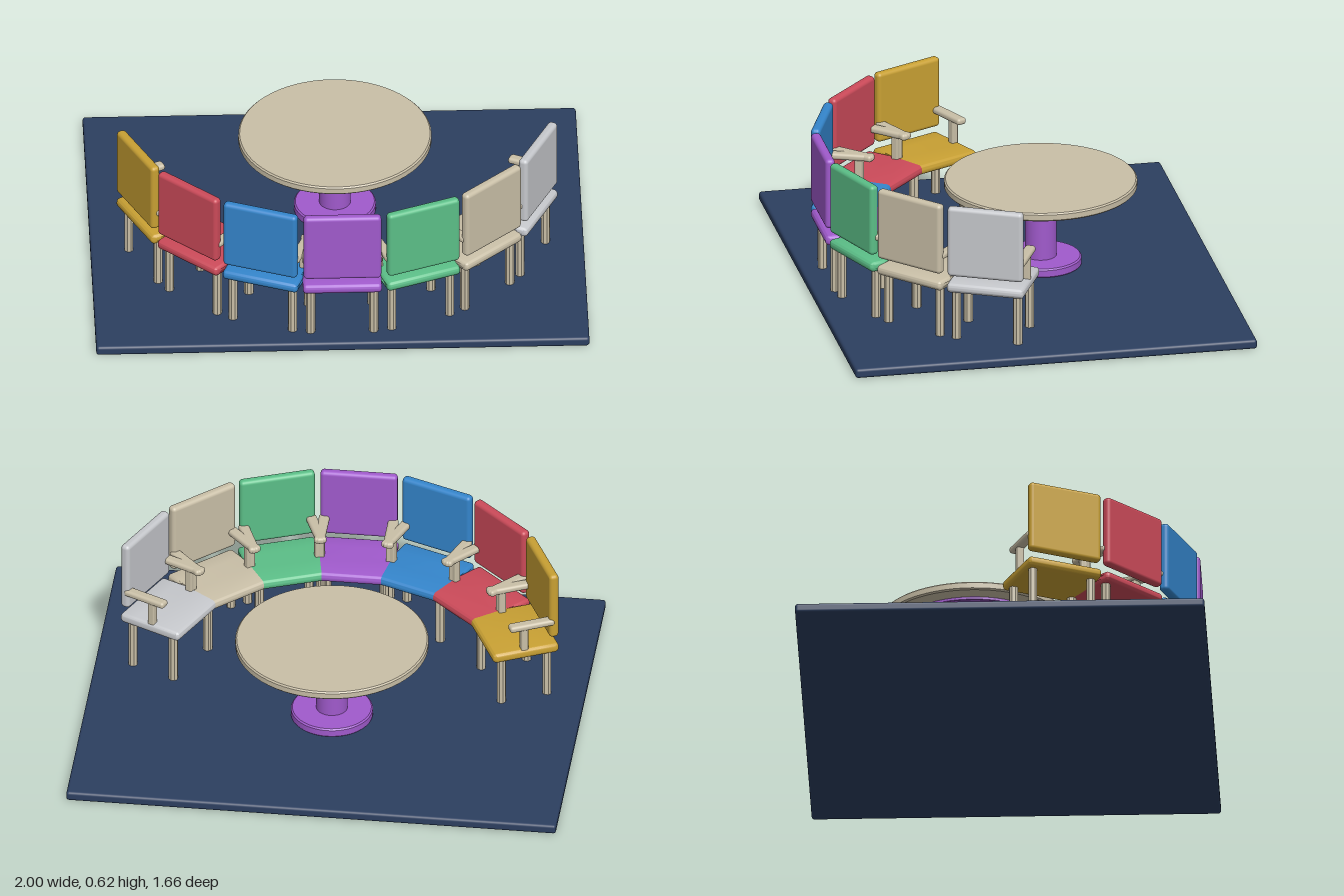
import * as THREE from 'three';
import { RoundedBoxGeometry } from 'three/addons/geometries/RoundedBoxGeometry.js';
import { toCreasedNormals } from 'three/addons/utils/BufferGeometryUtils.js';

const paint = (name, color) => {
  const m = new THREE.MeshStandardMaterial({ color });
  m.name = name;
  return m;
};

const CENTER_Z = -0.135;                            // centre of the table and the arc of chairs
const STEP = THREE.MathUtils.degToRad(150 / 7);     // angle between chairs
const SEAT = { width: 0.32, inner: 0.638, outer: 0.92, y: 0.268, half: 0.021 };

function add(parent, name, geometry, material, x = 0, y = 0, z = 0) {
  const mesh = new THREE.Mesh(geometry, material);
  mesh.name = name;
  mesh.position.set(x, y, z);
  parent.add(mesh);
  return mesh;
}

// Rounded cushion, cut along the line shared with each neighbouring seat
function seatGeometry(cutLeft, cutRight) {
  const { width, inner, outer, y, half } = SEAT;
  const r = 0.018, bevel = 0.014, q = Math.PI / 2;
  const mids = [0.75, 0.8, 0.846];
  const s = new THREE.Shape();
  s.moveTo(inner + r, y - half);
  mids.forEach((m) => s.lineTo(m, y - half));
  s.absarc(outer - r, y - half + r, r, -q, 0);
  s.absarc(outer - r, y + half - r, r, 0, q);
  [...mids].reverse().forEach((m) => s.lineTo(m, y + half));
  s.absarc(inner + r, y + half - r, r, q, 2 * q);
  s.absarc(inner + r, y - half + r, r, 2 * q, 3 * q);
  const depth = width - 2 * bevel;
  const g = new THREE.ExtrudeGeometry(s, {
    depth, curveSegments: 5, bevelSize: bevel, bevelThickness: bevel, bevelOffset: -bevel, bevelSegments: 4,
  });
  g.translate(0, 0, -depth / 2).rotateY(-Math.PI / 2);
  const p = g.attributes.position;
  for (let i = 0; i < p.count; i++) {
    const limit = p.getZ(i) * Math.tan(STEP / 2);
    if (cutLeft && p.getX(i) > limit) p.setX(i, limit);
    if (cutRight && p.getX(i) < -limit) p.setX(i, -limit);
  }
  return toCreasedNormals(g, 0.6);
}

export function createModel() {
  const wood = paint('beige', 0xc9bfa7);
  const purple = paint('purple', 0xa05acc);
  const navy = paint('navy', 0x2c3f60);
  const chairColors = [
    paint('mustard', 0xc8a033), paint('red', 0xcb4a59), paint('blue', 0x3485cb), purple,
    paint('green', 0x5bbe87), wood, paint('silver', 0xc6c8cc),
  ];

  const model = new THREE.Group();
  model.name = 'roundTableWithChairs';

  // Floor
  add(model, 'floor', new RoundedBoxGeometry(2, 0.04, 1.66, 3, 0.012), navy, 0, 0.02, 0);

  // Table
  const table = new THREE.Group();
  table.name = 'table';
  table.position.z = CENTER_Z;
  model.add(table);
  const disc = (radius, y0, y1, b) => toCreasedNormals(new THREE.LatheGeometry([
    [0, y0], [radius - b, y0], [radius, y0 + b], [radius, y1 - b], [radius - b, y1], [0, y1],
  ].map(([x, y]) => new THREE.Vector2(x, y)), 64), 0.5);
  add(table, 'tableTop', disc(0.392, 0.375, 0.41, 0.006), wood);
  add(table, 'tableUnderplate', disc(0.32, 0.362, 0.376, 0.002), purple);
  add(table, 'tableColumn', new THREE.CylinderGeometry(0.064, 0.064, 0.3, 40), purple, 0, 0.22, 0);
  add(table, 'tableBase', disc(0.166, 0.038, 0.077, 0.006), purple);

  // Shared chair parts
  const backGeo = new RoundedBoxGeometry(0.315, 0.3, 0.04, 4, 0.016);
  const armGeo = new RoundedBoxGeometry(0.044, 0.028, 0.19, 3, 0.012);
  const postGeo = new RoundedBoxGeometry(0.03, 0.11, 0.03, 2, 0.006);
  const legGeo = toCreasedNormals(new THREE.CylinderGeometry(0.019, 0.019, 0.212, 8), 0.5);

  // Chairs along the arc, facing the table
  chairColors.forEach((color, i) => {
    const k = i - 3;
    const chair = new THREE.Group();
    chair.name = `chair${i + 1}`;
    chair.position.z = CENTER_Z;
    chair.rotation.y = k * STEP;
    model.add(chair);
    add(chair, 'seat', seatGeometry(k < 3, k > -3), color);
    add(chair, 'backrest', backGeo, color, 0, 0.47, 0.9);
    for (const side of [-1, 1]) {
      add(chair, 'armrest', armGeo, wood, side * 0.141, 0.395, 0.806);
      add(chair, 'armrestPost', postGeo, wood, side * 0.141, 0.335, 0.774);
      for (const r of [0.682, 0.876]) add(chair, 'leg', legGeo, wood, side * 0.128, 0.145, r);
    }
  });

  return model;
}
